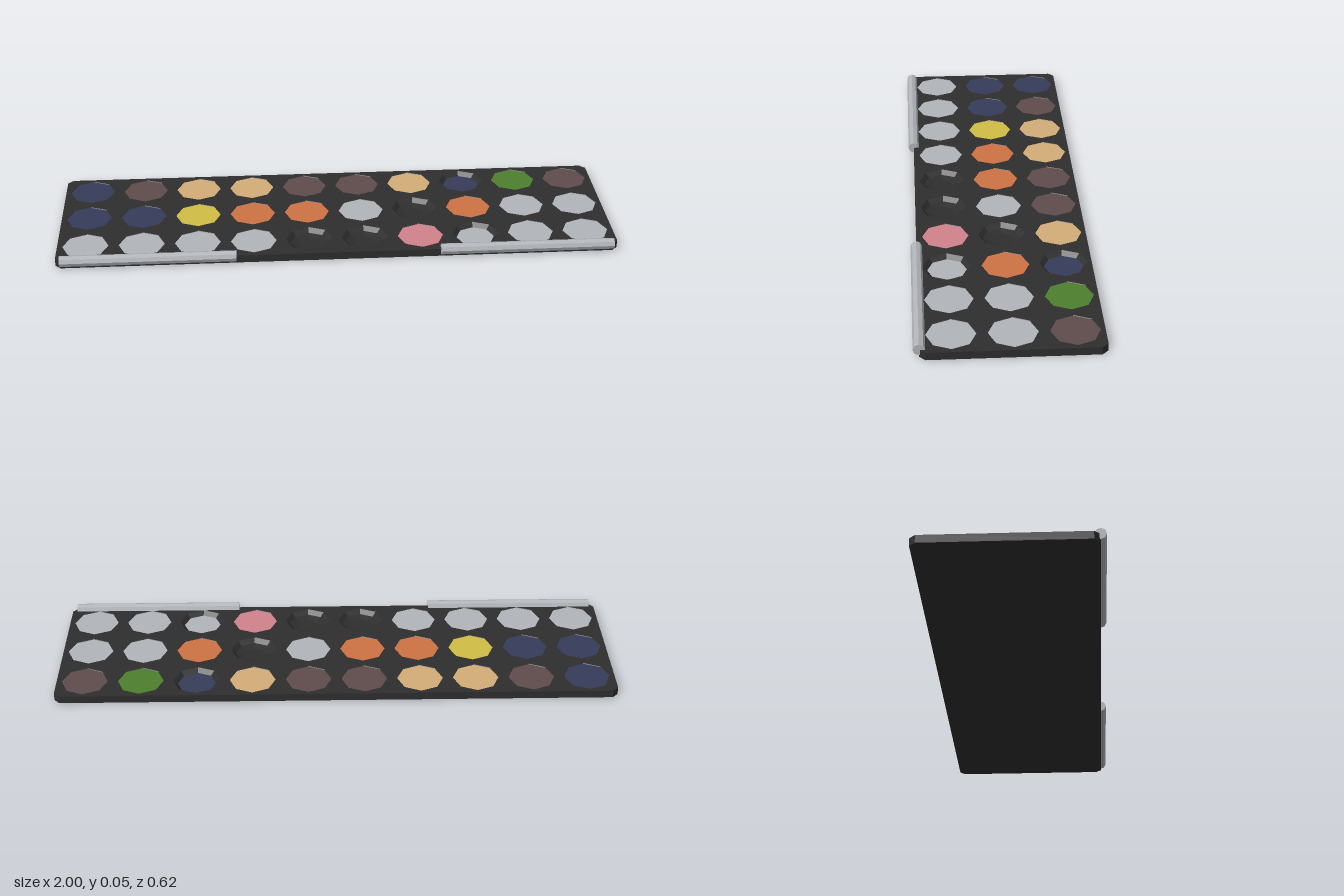
import * as THREE from 'three';

const mat = (name, color) => new THREE.MeshStandardMaterial({ name, color, flatShading: true });

const MATS = {
  k: mat('charcoal', 0x2e2e2e),
  n: mat('navy', 0x363c59),
  b: mat('brown', 0x5f4b4b),
  t: mat('tan', 0xd2ad76),
  y: mat('yellow', 0xd0bd44),
  o: mat('orange', 0xce7244),
  s: mat('silver', 0xb1b4b9),
  g: mat('green', 0x4d7f2d),
  p: mat('pink', 0xd1828b),
};

// Paint layout, back row first, from the model's right to its left.
// k is an empty well; a capital letter is a half used paint.
const ROWS = ['nbttbbtNgb', 'nnyooskoss', 'sssskkpSss'];
const TOP = 0.028, BASE = 0.004, WELL = 0.084, SIDES = 8;
const BACK = -0.31, FRONT = 0.29, CUT = 0.02;

const wellX = (col) => -0.9 + col * 0.2;
const wellZ = (row) => -0.213 + row * 0.2;

// Rectangle with clipped corners, drawn with shape y = -z
function trayOutline() {
  const lo = -FRONT, hi = -BACK;
  return new THREE.Shape([
    [-1 + CUT, lo], [1 - CUT, lo], [1, lo + CUT], [1, hi - CUT],
    [1 - CUT, hi], [-1 + CUT, hi], [-1, hi - CUT], [-1, lo + CUT],
  ].map(([x, y]) => new THREE.Vector2(x, y)));
}

function slab(shape, bottom, top) {
  const geo = new THREE.ExtrudeGeometry(shape, { depth: top - bottom, bevelEnabled: false });
  return geo.rotateX(-Math.PI / 2).translate(0, bottom, 0);
}

export function createModel() {
  const model = new THREE.Group();
  model.name = 'paintPalette';
  const add = (name, geo, material, x = 0, y = 0, z = 0) => {
    const mesh = new THREE.Mesh(geo, material);
    mesh.name = name;
    mesh.position.set(x, y, z);
    model.add(mesh);
    return mesh;
  };

  // Tray: closed base below a slab with octagonal openings
  const upper = trayOutline();
  const wellGeo = new THREE.LatheGeometry(
    [[WELL, TOP], [0.068, 0.013], [0.04, 0.006], [0, 0.005]].map(([r, y]) => new THREE.Vector2(r, y)),
    SIDES
  );
  const fullPaint = new THREE.CircleGeometry(0.082, SIDES).rotateX(-Math.PI / 2);
  const usedPaint = new THREE.CircleGeometry(0.068, SIDES).rotateX(-Math.PI / 2);

  ROWS.forEach((row, r) => [...row].forEach((key, c) => {
    const x = wellX(c), z = wellZ(r);
    const hole = Array.from({ length: SIDES }, (_, i) => {
      const a = -i * Math.PI * 2 / SIDES;
      return new THREE.Vector2(x + WELL * Math.cos(a), -z + WELL * Math.sin(a));
    });
    upper.holes.push(new THREE.Path(hole));

    // Tapered bowl and the paint lying in it
    add('well', wellGeo, MATS.k, x, 0, z);
    if (key === 'k') return;
    const used = key !== key.toLowerCase();
    add('paint', used ? usedPaint : fullPaint, MATS[key.toLowerCase()], x, used ? 0.0135 : 0.0265, z);
  }));
  add('trayTop', slab(upper, BASE, TOP), MATS.k);
  add('trayBase', slab(trayOutline(), 0, BASE), MATS.k);

  // Hinge rods along the front edge
  const rod = new THREE.CylinderGeometry(0.02, 0.02, 0.62, SIDES).rotateZ(Math.PI / 2);
  for (const side of [-1, 1]) {
    add(side > 0 ? 'leftHingeRod' : 'rightHingeRod', rod, MATS.s, side * 0.673, 0.028, 0.29);
  }
  return model;
}
